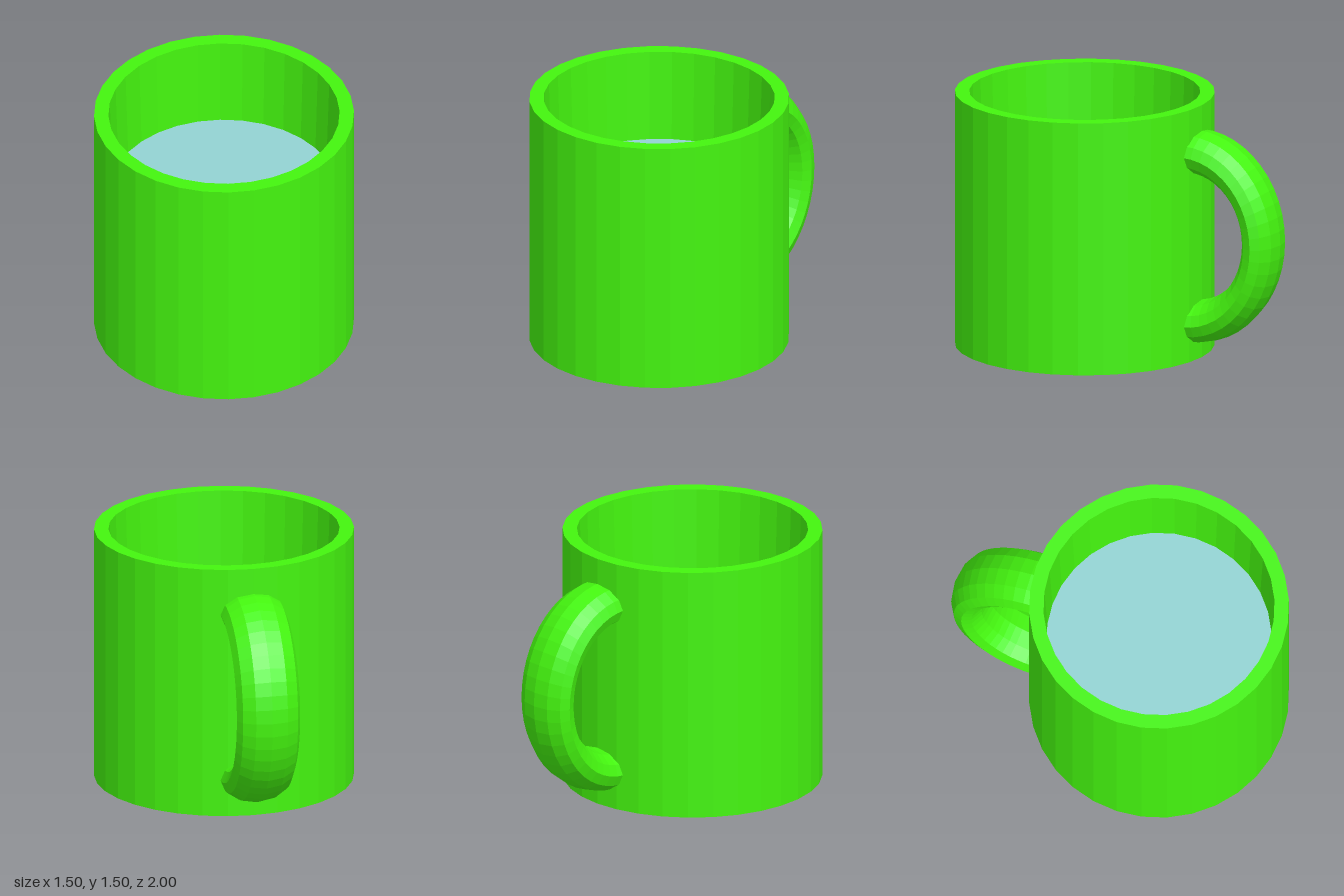
import * as THREE from 'three';

const SIDES = 32;
const CUP_Z = 0.25;

export function createModel() {
  const group = new THREE.Group();
  group.name = 'mug';
  const green = new THREE.MeshStandardMaterial({ color: 0x44f50f, flatShading: true });
  const blue = new THREE.MeshStandardMaterial({ color: 0x93d3d3, flatShading: true });

  const add = (name, geometry, material, y, z) => {
    const mesh = new THREE.Mesh(geometry, material);
    mesh.name = name;
    mesh.position.set(0, y, z);
    group.add(mesh);
  };

  // Cup: straight outer wall, flat rim, slightly tapered inside and a floor
  const profile = [[0, 0], [0.75, 0], [0.75, 1.5], [0.667, 1.5], [0.622, 0.1], [0, 0.1]]
    .map(([r, y]) => new THREE.Vector2(r, y));
  add('cup', new THREE.LatheGeometry(profile, SIDES), green, 0, CUP_Z);

  // Drink: flat surface inside the cup
  const drink = new THREE.CircleGeometry(0.65, SIDES).rotateX(-Math.PI / 2);
  add('drink', drink, blue, 0.96, CUP_Z);

  // Handle: half ring at the back, widened sideways, ends sunk into the wall
  const handle = new THREE.TorusGeometry(0.505, 0.125, 12, 24, Math.PI)
    .rotateZ(Math.PI / 2)
    .rotateY(-Math.PI / 2)
    .scale(1.5, 1, 0.86);
  add('handle', handle, green, 0.72, -0.458);

  return group;
}
